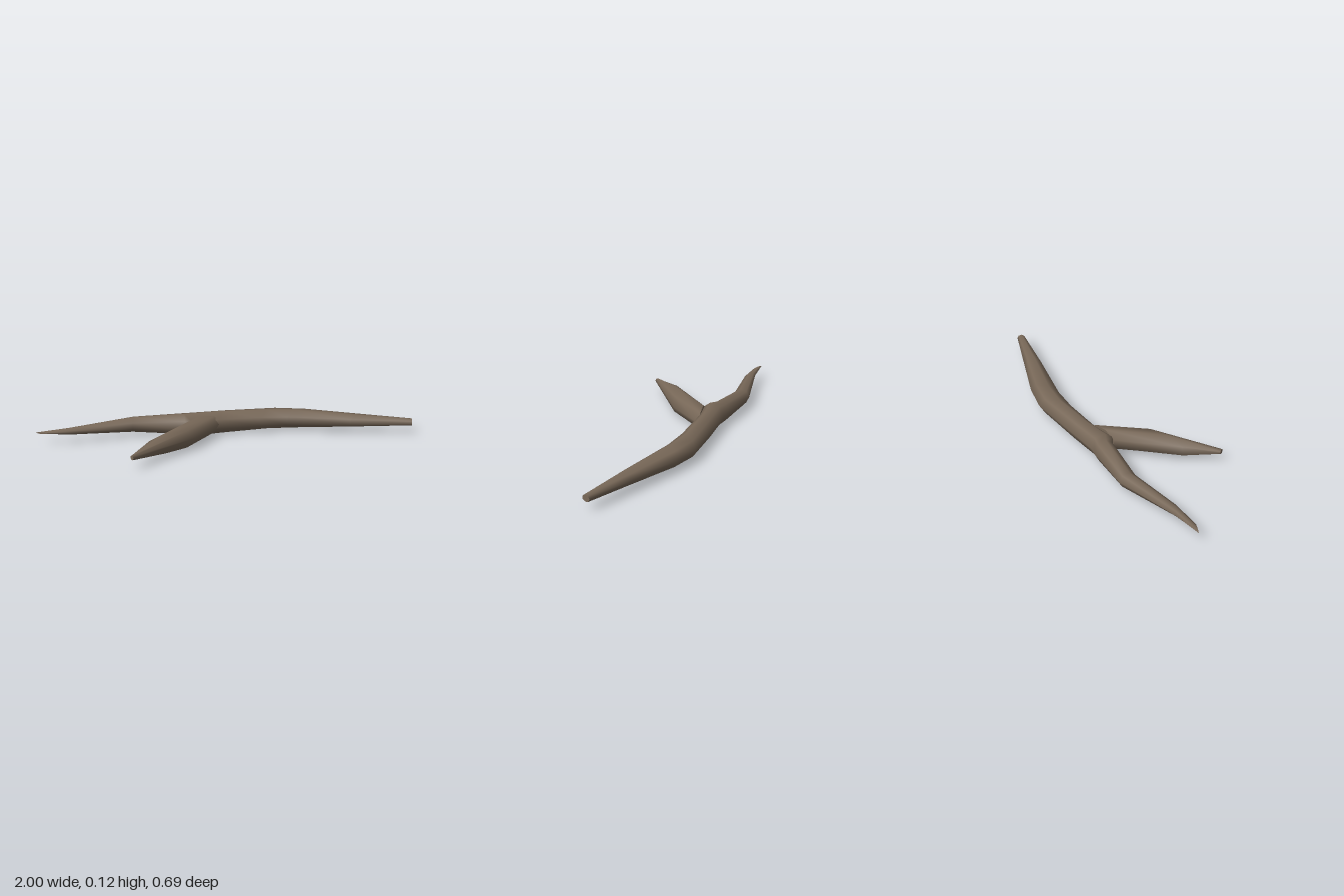
import * as THREE from 'three';

const SIDES = 7;
const MID_Y = 0.0625;

// Each section: [ridge x, ridge z, opposite flat x, opposite flat z, half height]
const TRUNK = [
  [-1.0, -0.062, -0.94, -0.046, 0.005],
  [-0.84, -0.102, -0.78, -0.068, 0.018],
  [-0.5, -0.235, -0.5, -0.15, 0.041],
  [-0.24, -0.25, -0.22, -0.145, 0.058],
  [-0.18, -0.25, -0.18, -0.122, 0.064],
  [0.0, -0.287, -0.04, -0.17, 0.062],
  [0.29, -0.346, 0.18, -0.206, 0.055],
  [0.45, -0.33, 0.33, -0.215, 0.051],
  [0.75, -0.262, 0.67, -0.185, 0.034],
  [1.0, -0.205, 0.995, -0.165, 0.019],
];
const FORK = [
  [-0.03, -0.185, -0.2, -0.13, 0.057],
  [-0.165, 0.045, -0.4, 0.16, 0.057],
  [-0.472, 0.344, -0.486, 0.326, 0.013],
];

// Seven-sided limb through slanted sections, with flat end caps
function limb(sections) {
  const flat = 1 + Math.cos(Math.PI / SIDES);
  const pos = [], index = [];
  const ring = ([vx, vz, fx, fz, h]) => {
    const ax = (vx - fx) / flat, az = (vz - fz) / flat;
    for (let j = 0; j < SIDES; j++) {
      const a = (j / SIDES) * Math.PI * 2;
      pos.push(vx - ax + ax * Math.cos(a), MID_Y + h * Math.sin(a), vz - az + az * Math.cos(a));
    }
  };
  sections.forEach(ring);
  for (let i = 0; i < sections.length - 1; i++) {
    for (let j = 0; j < SIDES; j++) {
      const k = (j + 1) % SIDES;
      const a = i * SIDES + j, b = i * SIDES + k;
      index.push(a, b, b + SIDES, a, b + SIDES, a + SIDES);
    }
  }
  // Caps own their vertices so their rims stay sharp
  [sections[0], sections[sections.length - 1]].forEach((s, end) => {
    const base = pos.length / 3;
    ring(s);
    for (let j = 1; j < SIDES - 1; j++) {
      if (end) index.push(base, base + j, base + j + 1);
      else index.push(base, base + j + 1, base + j);
    }
  });
  const g = new THREE.BufferGeometry();
  g.setAttribute('position', new THREE.Float32BufferAttribute(pos, 3));
  g.setIndex(index);
  g.computeVertexNormals();
  return g;
}

export function createModel() {
  const bark = new THREE.MeshStandardMaterial({ color: 0x786858 });
  bark.name = 'bark brown';
  const group = new THREE.Group();
  group.name = 'fallenBranch';
  const add = (name, sections) => {
    const mesh = new THREE.Mesh(limb(sections), bark);
    mesh.name = name;
    group.add(mesh);
  };
  add('mainLimb', TRUNK);
  add('sideFork', FORK);
  return group;
}
